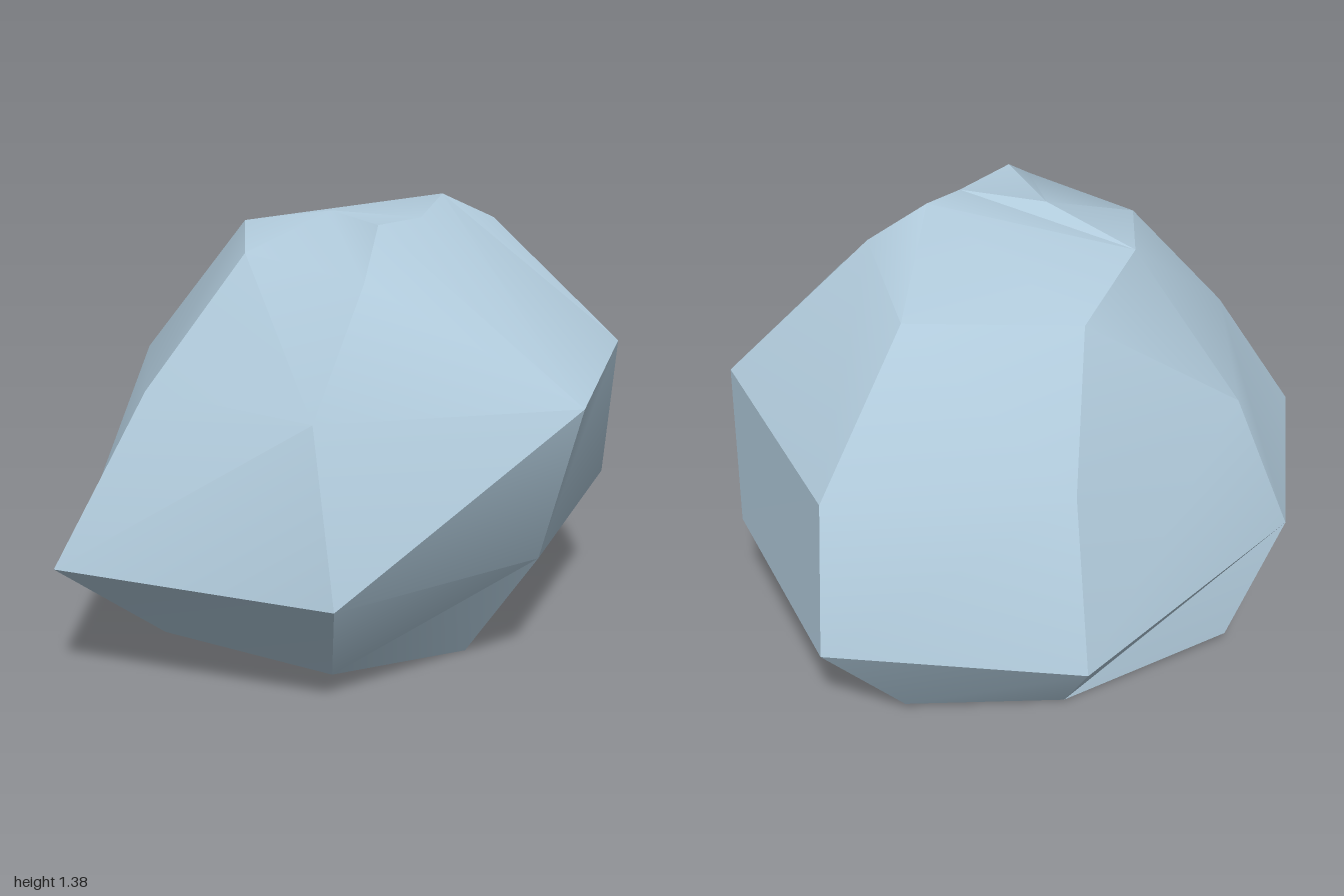
import * as THREE from 'three';
import { toCreasedNormals } from 'three/addons/utils/BufferGeometryUtils.js';

// Irregular rings from the base up, each running front, right, back, left
const base = [[-.285, .07, .6], [.25, .025, .43], [.4, 0, -.02], [.16, .005, -.5], [-.285, .03, -.71], [-.58, .005, -.33], [-.74, .045, .22]];
const belly = [[-.31, .38, 1], [.5, .365, .7], [.665, .365, -.02], [.38, .4, -.79], [-.28, .39, -1], [-.81, .34, -.47], [-.79, .41, .41]];
const shoulder = [[-.24, .86, .69], [.39, .865, .66], [.81, .845, -.02], [.47, .875, -.72], [-.23, .855, -.93], [-.68, .855, -.4], [-.67, .86, .28]];
const brow = [[-.12, 1.24, .39], [.34, 1.205, .39], [.23, 1.335, .2], [.21, 1.33, -.02], [.14, 1.375, -.21], [.21, 1.29, -.38], [-.14, 1.23, -.55], [-.51, 1.245, -.21], [-.355, 1.285, .15]];
const crown = [-.04, 1.34, .1];
const underside = [-.12, .012, -.05];

function buildRock() {
  const points = [];
  const tri = (a, b, c) => {
    if (a !== b && b !== c && a !== c) points.push(...a, ...b, ...c);
  };
  // Join two rings with the same number of columns; rising picks the diagonal
  const band = (low, high, rising) => low.forEach((a, i) => {
    const j = (i + 1) % low.length;
    tri(a, low[j], rising ? high[j] : high[i]);
    tri(rising ? a : low[j], high[j], high[i]);
  });
  // Triangles from one centre to a run of points
  const fan = (centre, run) => run.slice(1).forEach((p, i) => tri(centre, run[i], p));

  band(base, belly, true);
  band(belly, shoulder, true);
  // The right shoulder point fans out to three brow points
  band([0, 1, 2, 2, 2, 3, 4, 5, 6].map(i => shoulder[i]), brow, false);
  // Top: a front cap round the crown and a back cap round the peak
  fan(crown, [8, 0, 1, 2, 3, 8].map(i => brow[i]));
  fan(brow[4], [5, 6, 7, 8, 3].map(i => brow[i]));
  fan(underside, [...base, base[0]].reverse());

  const geometry = new THREE.BufferGeometry();
  geometry.setAttribute('position', new THREE.Float32BufferAttribute(points, 3));
  return toCreasedNormals(geometry, .56);
}

export function createModel() {
  const group = new THREE.Group();
  group.name = 'boulder';
  const stone = new THREE.MeshStandardMaterial({ color: 0xb2ccdd });
  stone.name = 'blue grey stone';
  const rock = new THREE.Mesh(buildRock(), stone);
  rock.name = 'rock';
  group.add(rock);
  return group;
}
